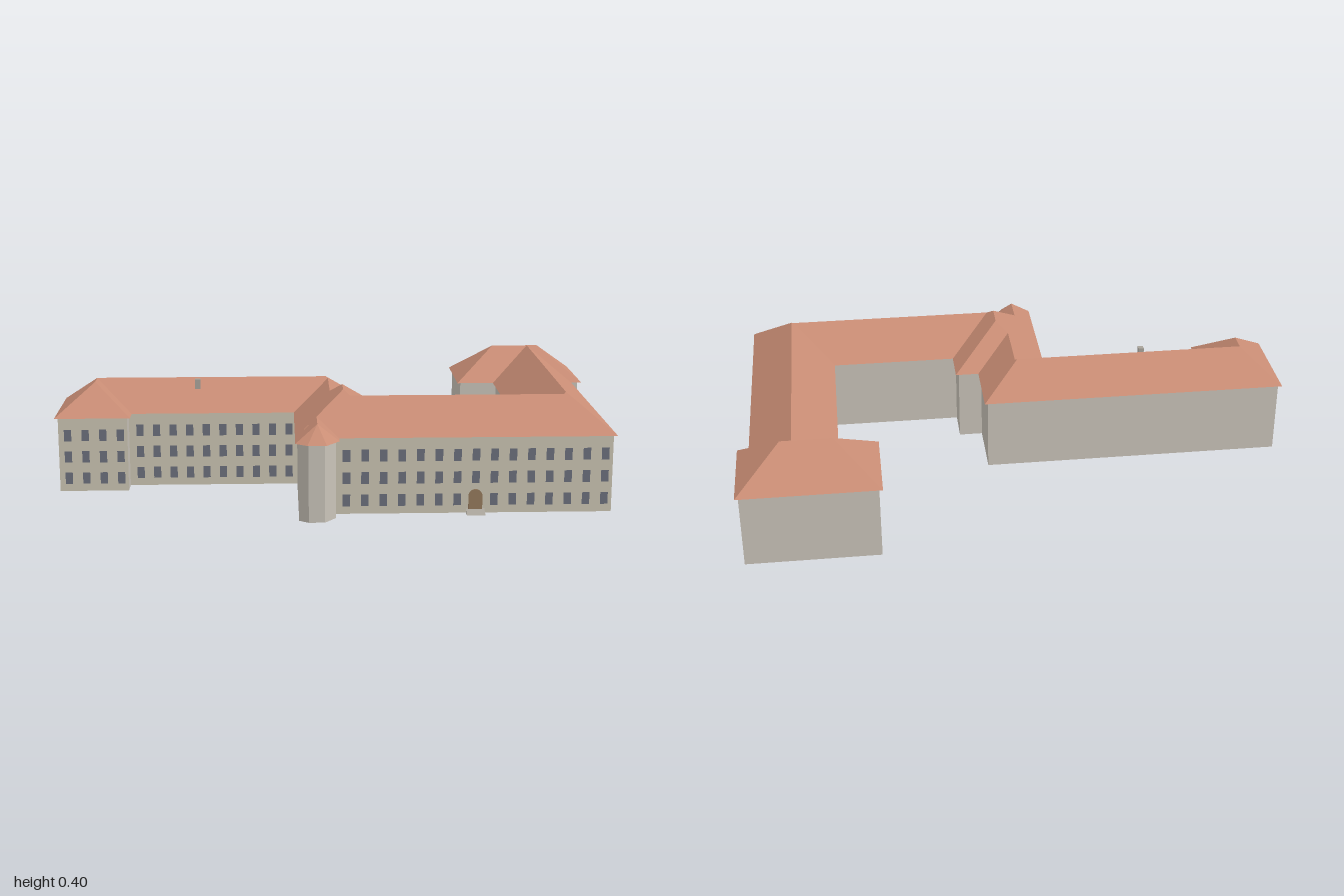
import * as THREE from 'three';
import { ConvexGeometry } from 'three/addons/geometries/ConvexGeometry.js';

const EAVE = 0.27, PITCH = 0.78, OVERHANG = 0.012;

const paint = (color) => new THREE.MeshStandardMaterial({ color });
const roofMat = paint(0xc98d75), wallMat = paint(0xc9c3b9), facadeMat = paint(0xcac4b1);
const glassMat = paint(0x6b6f7c), doorMat = paint(0x94795c), stoneMat = paint(0xa9a49b);

// Eaves outline of the whole building, as [x, z]
const OUTLINE = [
  [-1, -0.12], [0.11, -0.12], [0.11, 0.11], [0.195, 0.11], [0.195, 0.24], [0.645, 0.24],
  [0.645, -0.325], [0.505, -0.325], [0.505, -0.64], [0.995, -0.64], [0.995, -0.335],
  [0.955, -0.335], [0.955, 0.535], [0.005, 0.535], [0.005, 0.575], [-0.04, 0.635],
  [-0.105, 0.635], [-0.145, 0.605], [-0.145, 0.15], [-0.73, 0.15], [-0.73, 0.22], [-1, 0.22],
];

// Moves every side of a closed outline inwards by d
function inset(points, d) {
  const n = points.length;
  const normal = (a, b) => new THREE.Vector2(a[1] - b[1], b[0] - a[0]).normalize();
  return points.map((p, i) => {
    const n1 = normal(points[(i + n - 1) % n], p), n2 = normal(p, points[(i + 1) % n]);
    const k = d / (1 + n1.dot(n2));
    return [p[0] + (n1.x + n2.x) * k, p[1] + (n1.y + n2.y) * k];
  });
}

function addMesh(parent, name, geometry, material) {
  const mesh = new THREE.Mesh(geometry, material);
  mesh.name = name;
  parent.add(mesh);
  return mesh;
}

// Roof volume from its eave corners and its two ridge ends
function roofOver(eaves, ridge, height) {
  return new ConvexGeometry([
    ...eaves.map(([x, z]) => new THREE.Vector3(x, EAVE, z)),
    ...ridge.map(([x, z]) => new THREE.Vector3(x, EAVE + height, z)),
  ]);
}

// Hipped roof over a rectangle, with the ridge along its longer side
function hipRoof(x0, x1, z0, z1) {
  const half = Math.min(x1 - x0, z1 - z0) / 2;
  const corners = [[x0, z0], [x1, z0], [x1, z1], [x0, z1]];
  return roofOver(corners, [[x0 + half, z0 + half], [x1 - half, z1 - half]], half * PITCH);
}

// Facade lying in the xy plane: a plaster sheet and a grid of windows
function facade(name, from, to, first, last, columns, doorColumn = -1) {
  const group = new THREE.Group();
  group.name = name;
  const sheet = addMesh(group, 'plaster', new THREE.PlaneGeometry(to - from, EAVE), facadeMat);
  sheet.position.set((from + to) / 2, EAVE / 2, 0.001);
  for (let row = 0; row < 3; row++) {
    for (let i = 0; i < columns; i++) {
      if (row === 0 && i === doorColumn) continue;
      const pane = addMesh(group, 'window', new THREE.PlaneGeometry(0.026, 0.042), glassMat);
      pane.position.set(first + (last - first) * i / (columns - 1), 0.048 + row * 0.079, 0.002);
    }
  }
  return group;
}

export function createModel() {
  const model = new THREE.Group();
  model.name = 'building';

  // Walls: one footprint raised to the eaves
  const footprint = new THREE.Shape(inset(OUTLINE, OVERHANG).map(([x, z]) => new THREE.Vector2(x, -z)));
  const wallGeometry = new THREE.ExtrudeGeometry(footprint, { depth: EAVE, bevelEnabled: false });
  wallGeometry.rotateX(-Math.PI / 2);
  addMesh(model, 'walls', wallGeometry, wallMat);

  // Roofs: equal pitches that meet in hips and valleys
  const wings = {
    rightWingRoof: [-1, 0.11, -0.12, 0.15],
    rightEndRoof: [-1, -0.73, -0.12, 0.22],
    linkRoof: [-0.145, 0.11, -0.12, 0.45],
    middleRoof: [-0.145, 0.195, 0.11, 0.535],
    frontWingRoof: [-0.145, 0.955, 0.24, 0.535],
    leftWingRoof: [0.645, 0.955, -0.64, 0.535],
    rearBlockRoof: [0.505, 0.995, -0.64, -0.33],
  };
  for (const [name, size] of Object.entries(wings)) addMesh(model, name, hipRoof(...size), roofMat);

  // Faceted bay at the front corner
  const bayEaves = [[-0.145, 0.38], [0.005, 0.38], ...OUTLINE.slice(14, 18)];
  addMesh(model, 'bayRoof', roofOver(bayEaves, [[-0.07, 0.455], [-0.07, 0.565]], 0.058), roofMat);

  // Windowed facades
  const endFront = facade('rightEndFacade', -0.988, -0.742, -0.955, -0.767, 4);
  endFront.position.z = 0.22 - OVERHANG;
  const wingFront = facade('rightWingFacade', -0.742, -0.133, -0.703, -0.163, 10);
  wingFront.position.z = 0.15 - OVERHANG;
  const mainFront = facade('frontFacade', -0.007, 0.943, 0.03, 0.917, 15, 7);
  mainFront.position.z = 0.535 - OVERHANG;
  const sideFront = facade('leftFacade', -0.523, 0.335, -0.5, 0.31, 14);
  sideFront.rotation.y = Math.PI / 2;
  sideFront.position.x = 0.955 - OVERHANG;
  model.add(endFront, wingFront, mainFront, sideFront);

  // Arched door
  const arch = new THREE.Shape();
  arch.moveTo(-0.024, 0);
  arch.lineTo(0.024, 0);
  arch.lineTo(0.024, 0.06);
  arch.absarc(0, 0.06, 0.024, 0, Math.PI, false);
  const door = addMesh(model, 'door', new THREE.ExtrudeGeometry(arch, { depth: 0.004, bevelEnabled: false }), doorMat);
  door.position.set(0.473, 0, 0.523);

  // Sloping doorstep
  const wedge = new THREE.Shape([[0, 0], [0.036, 0], [0, 0.016]].map((p) => new THREE.Vector2(...p)));
  const step = addMesh(model, 'doorstep', new THREE.ExtrudeGeometry(wedge, { depth: 0.064, bevelEnabled: false }), stoneMat);
  step.rotation.y = -Math.PI / 2;
  step.position.set(0.505, 0, 0.522);

  // Chimney on the right wing
  const chimney = addMesh(model, 'chimney', new THREE.BoxGeometry(0.02, 0.05, 0.02), stoneMat);
  chimney.position.set(-0.495, 0.351, 0.05);

  return model;
}
